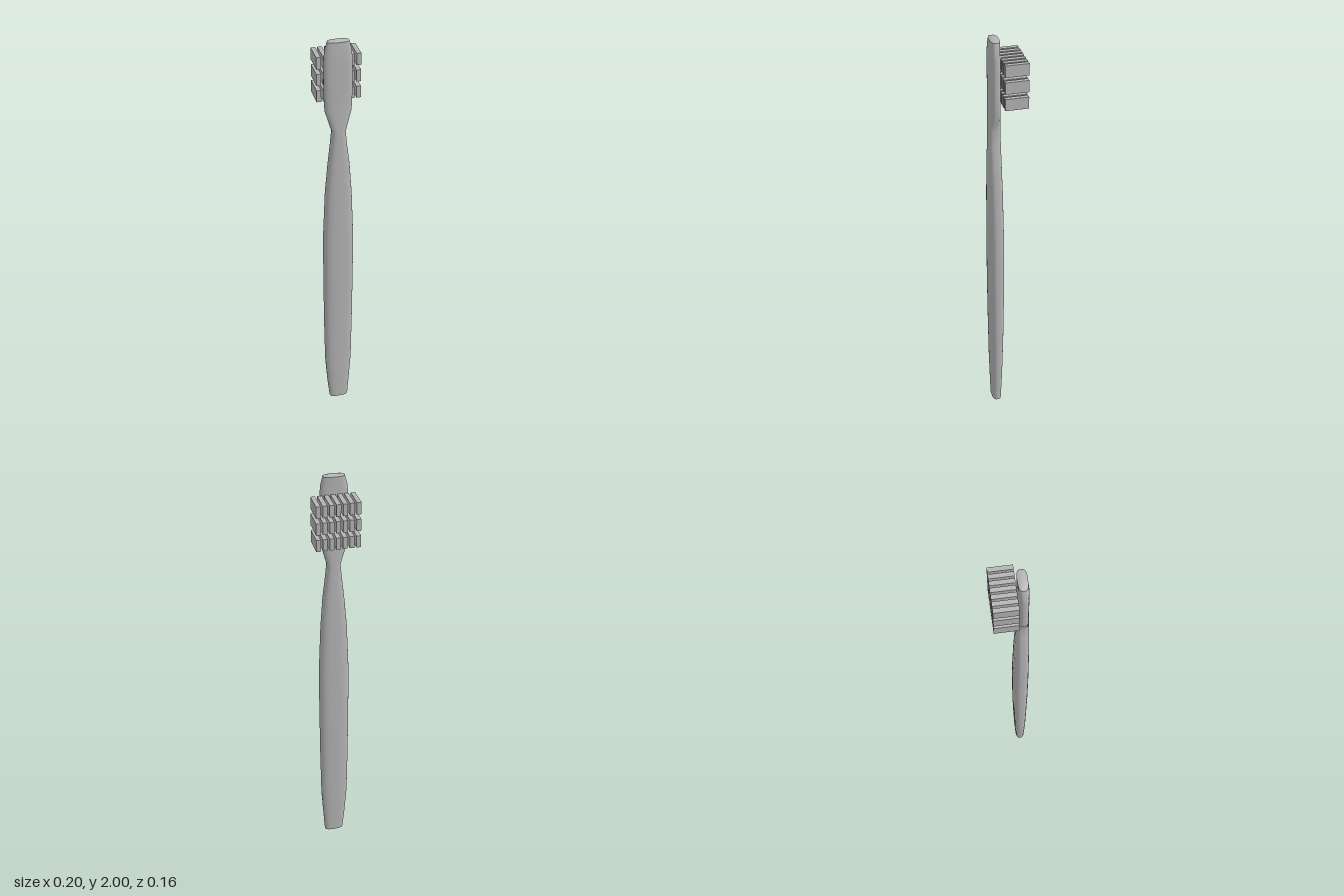
import * as THREE from 'three';

const SIDES = 40;

// Sections of the body: [y, xMin, xMax, zMin, zMax]
const SECTIONS = [
  [0, -0.056, 0.037, 0.024, 0.069],
  [0.1, -0.066, 0.044, 0.02, 0.071],
  [0.25, -0.077, 0.054, 0.016, 0.074],
  [0.5, -0.08, 0.058, 0.01, 0.077],
  [0.75, -0.081, 0.06, 0.008, 0.079],
  [1.0, -0.081, 0.061, 0.008, 0.079],
  [1.25, -0.071, 0.051, 0.012, 0.078],
  [1.4, -0.058, 0.04, 0.016, 0.077],
  [1.5, -0.047, 0.028, 0.018, 0.075],
  [1.57, -0.04, 0.021, 0.019, 0.074],
  [1.62, -0.055, 0.034, 0.021, 0.072],
  [1.67, -0.07, 0.048, 0.022, 0.069],
  [1.75, -0.074, 0.051, 0.023, 0.068],
  [1.9, -0.074, 0.051, 0.023, 0.068],
  [1.95, -0.069, 0.047, 0.023, 0.067],
  [1.99, -0.057, 0.037, 0.022, 0.064],
];

// Rounded-rectangle outline point of a section
function outline([y, x0, x1, z0, z1], j) {
  const a = (j / SIDES) * Math.PI * 2;
  const bend = (v) => Math.sign(v) * Math.pow(Math.abs(v), 0.7);
  return [
    (x0 + x1) / 2 + (bend(Math.cos(a)) * (x1 - x0)) / 2,
    y,
    (z0 + z1) / 2 + (bend(Math.sin(a)) * (z1 - z0)) / 2,
  ];
}

function makeGeometry(positions, index) {
  const geo = new THREE.BufferGeometry();
  geo.setAttribute('position', new THREE.Float32BufferAttribute(positions, 3));
  geo.setIndex(index);
  geo.computeVertexNormals();
  return geo;
}

// Smooth skin through all sections
function skin() {
  const pos = [], idx = [];
  SECTIONS.forEach((s, i) => {
    for (let j = 0; j < SIDES; j++) {
      pos.push(...outline(s, j));
      if (i === SECTIONS.length - 1) continue;
      const a = i * SIDES + j, b = i * SIDES + ((j + 1) % SIDES);
      idx.push(a, a + SIDES, b, b, a + SIDES, b + SIDES);
    }
  });
  return makeGeometry(pos, idx);
}

// Fan closing one end, with its middle at height y
function cap(section, y, up) {
  const [, x0, x1, z0, z1] = section;
  const pos = [(x0 + x1) / 2, y, (z0 + z1) / 2], idx = [];
  for (let j = 0; j < SIDES; j++) {
    pos.push(...outline(section, j));
    const a = j + 1, b = ((j + 1) % SIDES) + 1;
    idx.push(0, ...(up ? [b, a] : [a, b]));
  }
  return makeGeometry(pos, idx);
}

export function createModel() {
  const group = new THREE.Group();
  group.name = 'toothbrush';
  const grey = new THREE.MeshStandardMaterial({ color: 0xb4b4b4 });
  grey.name = 'grey';

  const add = (parent, name, geo) => {
    const mesh = new THREE.Mesh(geo, grey);
    mesh.name = name;
    parent.add(mesh);
    return mesh;
  };

  // Handle, neck and head in one piece
  add(group, 'handleAndHead', skin());
  add(group, 'handleEnd', cap(SECTIONS[0], 0, false));
  add(group, 'headTip', cap(SECTIONS[SECTIONS.length - 1], 2, true));

  // Bristle blocks: three rows of seven
  const bristles = new THREE.Group();
  bristles.name = 'bristles';
  group.add(bristles);
  const block = new THREE.BoxGeometry(0.02, 0.054, 0.104);
  for (let row = 0; row < 3; row++) {
    for (let col = 0; col < 7; col++) {
      add(bristles, 'bristle', block).position.set(
        (col - 3) * 0.0292 - 0.001, 1.733 + row * 0.0765, -0.031);
    }
  }
  return group;
}
